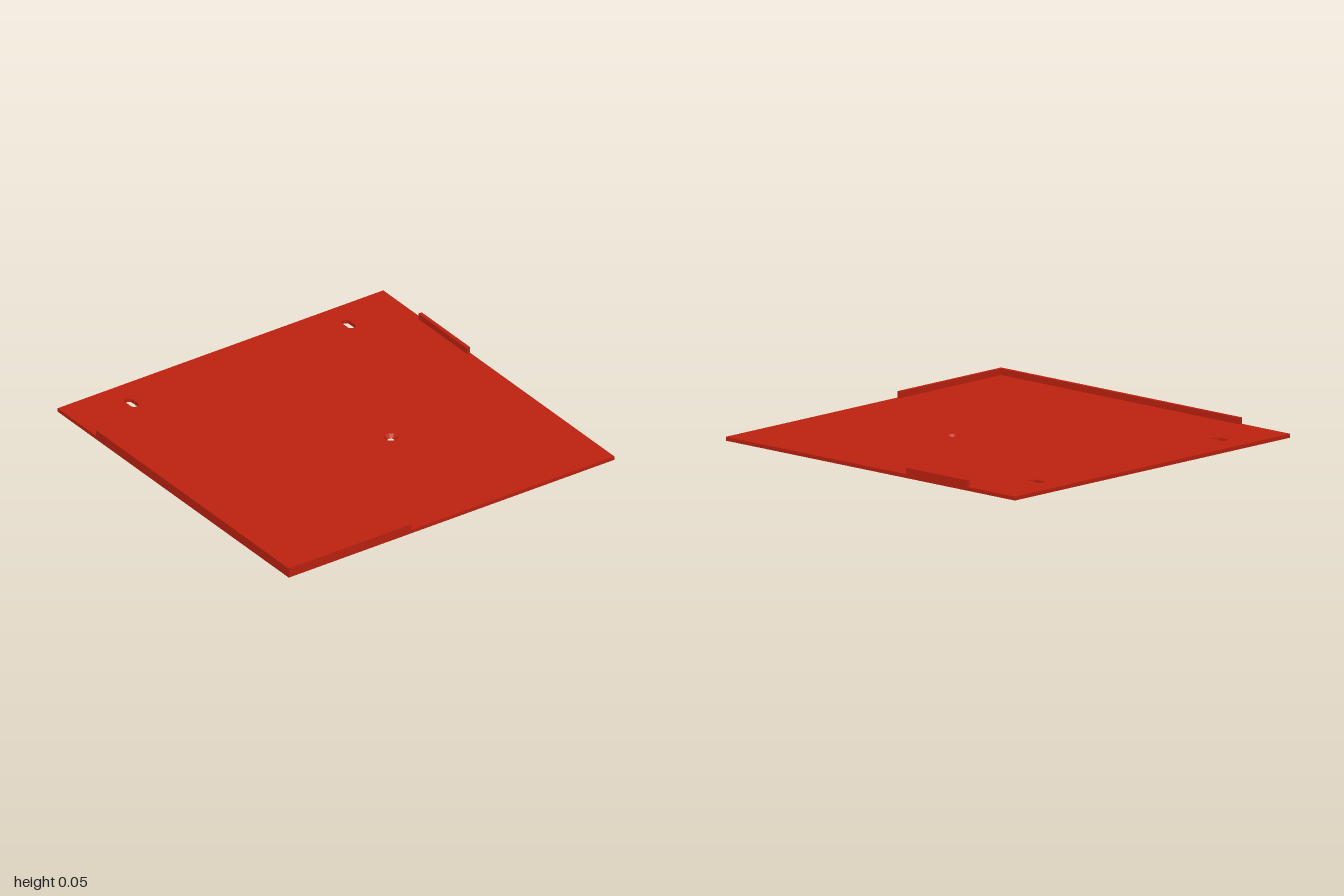
import * as THREE from 'three';
import { toCreasedNormals } from 'three/addons/utils/BufferGeometryUtils.js';

const THICK = 0.02, TOP = 0.053, LIP = 0.02;
const HOLE = { x: 0.197, z: 0.197, outer: 0.036, inner: 0.018 };

// Extrude a plan shape (drawn with shape y = -z) upward from y0 to y1
function slab(shape, y0, y1) {
  const geo = new THREE.ExtrudeGeometry(shape, { depth: y1 - y0, bevelEnabled: false, curveSegments: 16 });
  return geo.rotateX(-Math.PI / 2).translate(0, y0, 0);
}

// Closed plan outline from [x, z] corners
function plan(corners) {
  return new THREE.Shape(corners.map(([x, z]) => new THREE.Vector2(x, -z)));
}

// Round-ended slot running along z
function slotPath(x, z0, z1, r) {
  const path = new THREE.Path();
  path.absarc(x, -z0 - r, r, 0, Math.PI, false);
  path.absarc(x, -z1 + r, r, Math.PI, Math.PI * 2, false);
  path.closePath();
  return path;
}

export function createModel() {
  const group = new THREE.Group();
  const red = new THREE.MeshStandardMaterial({ color: 0xc0220f });
  red.name = 'red';
  const add = (name, geo) => {
    const mesh = new THREE.Mesh(geo, red);
    mesh.name = name;
    group.add(mesh);
    return mesh;
  };

  // Base plate with two mounting slots and a screw hole
  const base = plan([[-1, 1], [1, 1], [1, -1], [-1, -1]]);
  for (const side of [-1, 1]) base.holes.push(slotPath(side * 0.667, -0.875, -0.785, 0.022));
  const screwHole = new THREE.Path();
  screwHole.absarc(HOLE.x, -HOLE.z, HOLE.outer, 0, Math.PI * 2, false);
  base.holes.push(screwHole);
  add('basePlate', slab(base, 0, THICK));

  // Countersink: sloping wall and the flat ring beneath it
  const profile = [[HOLE.outer, THICK], [HOLE.inner, 0], [HOLE.outer, 0]];
  const cone = new THREE.LatheGeometry(profile.map(([r, y]) => new THREE.Vector2(r, y)), 32);
  add('countersink', toCreasedNormals(cone, 0.5)).position.set(HOLE.x, 0, HOLE.z);

  // L-shaped lip along the right side and part of the front
  add('cornerLip', slab(plan([
    [-1, 1], [-0.247, 1], [-0.247, 1 - LIP], [-1 + LIP, 1 - LIP], [-1 + LIP, -0.667], [-1, -0.667],
  ]), THICK, TOP));

  // Short lip on the left side
  add('sideLip', slab(plan([[1 - LIP, -0.247], [1, -0.247], [1, -0.667], [1 - LIP, -0.667]]), THICK, TOP));

  return group;
}
